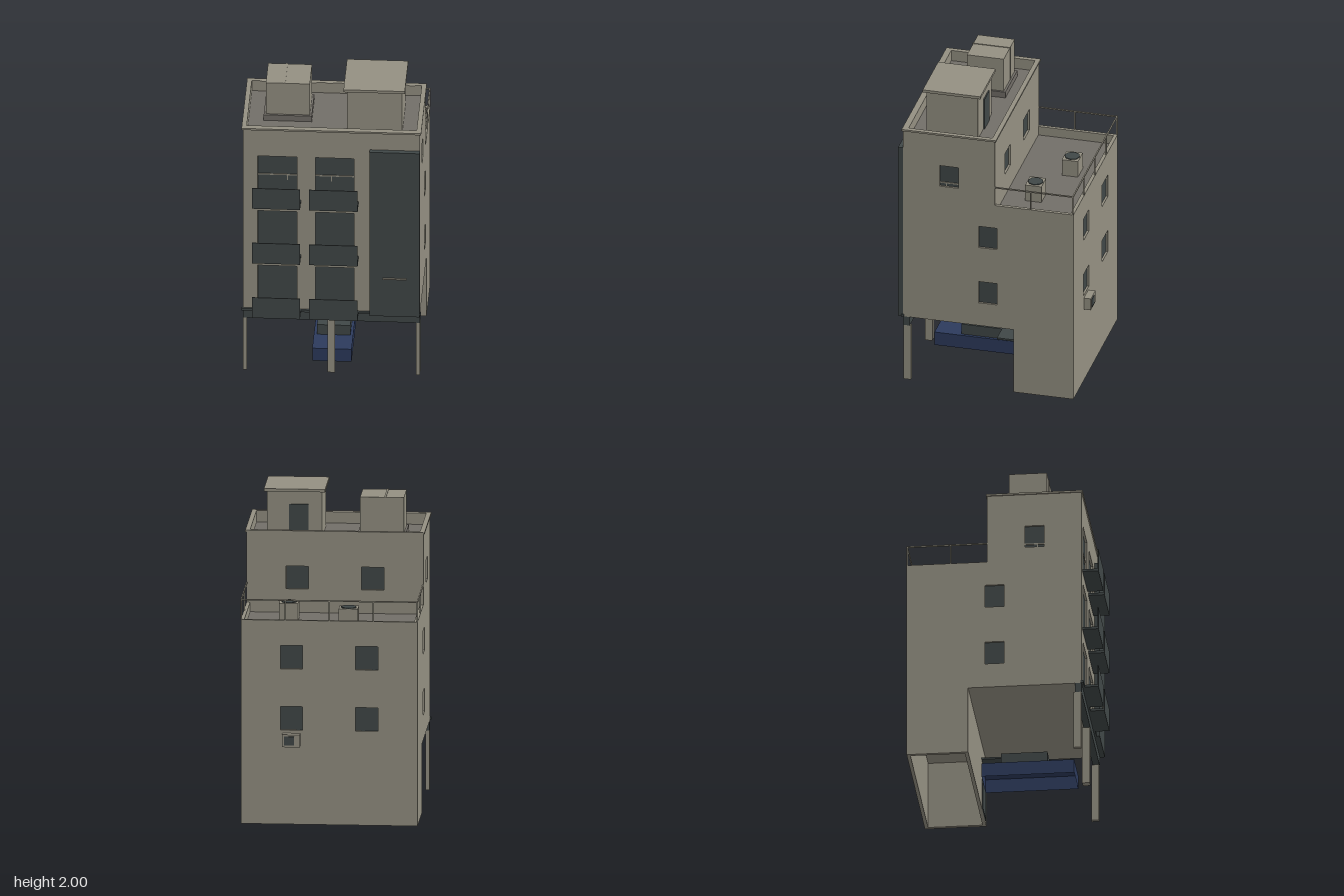
import * as THREE from 'three';

const mat = (name, color, side = THREE.FrontSide) => {
  const m = new THREE.MeshStandardMaterial({ color, side });
  m.name = name;
  return m;
};

export function createModel() {
  const model = new THREE.Group();
  model.name = 'apartmentBuilding';
  const plaster = mat('plaster', 0x949082);
  const dark = mat('darkGlass', 0x404747, THREE.DoubleSide);
  const roofGrey = mat('roofGrey', 0x726e68);
  const blue = mat('carBlue', 0x2c3a5c, THREE.DoubleSide);

  const add = (name, geo, material) => {
    const mesh = new THREE.Mesh(geo, material);
    mesh.name = name;
    model.add(mesh);
    return mesh;
  };
  // Box given by its limits on each axis
  const box = (name, m, x0, x1, y0, y1, z0, z1) => {
    const b = add(name, new THREE.BoxGeometry(x1 - x0, y1 - y0, z1 - z0), m);
    b.position.set((x0 + x1) / 2, (y0 + y1) / 2, (z0 + z1) / 2);
    return b;
  };
  // Wall with rectangular openings [u0, u1, v0, v1]
  const wallGeo = (points, holes, depth) => {
    const shape = new THREE.Shape(points.map(p => new THREE.Vector2(...p)));
    for (const [a, b, c, d] of holes) {
      shape.holes.push(new THREE.Path([[a, c], [a, d], [b, d], [b, c]].map(p => new THREE.Vector2(...p))));
    }
    return new THREE.ExtrudeGeometry(shape, { depth, bevelEnabled: false });
  };
  const rect = (x0, x1, y0, y1) => [[x0, y0], [x1, y0], [x1, y1], [x0, y1]];

  const W = 0.552, T = 0.022, IN = W - T;
  const winRows = [[0.6, 0.75], [0.99, 1.14], [1.39, 1.535]];

  // Side walls, stepped in profile, with recessed windows
  const profile = [[-0.575, 0], [-0.19, 0], [-0.19, 0.44], [0.52, 0.44],
    [0.52, 1.76], [-0.07, 1.76], [-0.07, 1.3], [-0.575, 1.3]];
  const sideHoles = winRows.map(([a, b], i) => (i < 2 ? [-0.085, 0.035, a, b] : [0.165, 0.285, a, b]));
  for (const s of [1, -1]) {
    const wall = add('sideWall', wallGeo(profile, sideHoles, T).rotateY(-Math.PI / 2), plaster);
    wall.position.x = s > 0 ? W : -W + T;
    const gx = s * (W - 0.016);
    for (const [a, b, c, d] of sideHoles) box('sideWindow', dark, gx - 0.003, gx + 0.003, c, d, a, b);
    const bx = s * (W - 0.011);
    box('sideWindowBar', plaster, bx - 0.003, bx + 0.003, 1.41, 1.418, 0.165, 0.285);
    box('sideWindowBar', plaster, bx - 0.003, bx + 0.003, 1.39, 1.41, 0.241, 0.248);
  }

  // Front wall with balcony doors
  const bays = [[-0.46, -0.215], [-0.1, 0.14]];
  const floors = [0.44, 0.837, 1.235];
  const frontHoles = [];
  for (const [a, b] of bays) for (const y of floors) frontHoles.push([a, b, y + 0.016, y + 0.325]);
  add('frontWall', wallGeo(rect(-IN, IN, 0.44, 1.76), frontHoles, 0.03), plaster).position.z = 0.49;
  for (const [a, b, c, d] of frontHoles) box('balconyDoor', dark, a, b, c, d, 0.5, 0.506);
  bays.forEach(([a, b], i) => {
    const px = i ? -0.003 : -0.278;
    box('doorBar', plaster, a, b, 1.42, 1.428, 0.506, 0.511);
    box('doorBar', plaster, px, px + 0.007, 1.385, 1.42, 0.506, 0.511);
  });

  // Rear walls with recessed windows
  const rearWall = (name, y0, y1, z, rows) => {
    const holes = [];
    for (const x of [-0.235, 0.235]) for (const [c, d] of rows) holes.push([x - 0.07, x + 0.07, c, d]);
    add(name, wallGeo(rect(-IN, IN, y0, y1), holes, T), plaster).position.z = z;
    for (const [a, b, c, d] of holes) box('rearWindow', dark, a, b, c, d, z + 0.013, z + 0.019);
  };
  rearWall('lowerRearWall', 0, 1.3, -0.575, winRows.slice(0, 2));
  rearWall('upperRearWall', 1.2, 1.76, -0.07, winRows.slice(2));

  // Ground floor wall, entrance, soffit
  box('groundWall', plaster, -IN, IN, 0, 0.44, -0.212, -0.19);
  box('soffit', plaster, -IN, IN, 0.44, 0.455, -0.553, 0.49);
  box('entranceDoor', dark, 0.29, 0.47, 0, 0.31, -0.19, -0.183);
  box('entranceCanopy', dark, 0.265, 0.5, 0.328, 0.34, -0.19, -0.07);

  // Pillars, beam and ledge at the front
  for (const [a, b] of [[-W, -0.528], [-0.025, 0.021], [0.528, W]]) {
    box('pillar', plaster, a, b, 0, 0.38, 0.47, 0.518);
  }
  box('frontBeam', dark, -W, W, 0.38, 0.44, 0.478, 0.52);
  box('frontLedge', dark, -0.56, 0.56, 0.44, 0.455, 0.515, 0.533);

  // Tall dark facade panel with a small ledge
  box('facadePanel', dark, 0.24, W, 0.44, 1.63, 0.52, 0.552);
  box('panelLedge', plaster, 0.32, 0.472, 0.711, 0.719, 0.552, 0.562);

  // Balconies: thin slab and front screen
  for (const [a, b] of [[-0.49, -0.19], [-0.135, 0.17]]) {
    for (const y of floors) {
      box('balconySlab', dark, a, b, y, y + 0.015, 0.52, 0.62);
      box('balconyScreen', dark, a, b, y, y + 0.148, 0.615, 0.62);
    }
  }

  // Roof decks and parapet coping
  box('terraceFloor', roofGrey, -IN, IN, 1.22, 1.24, -0.553, -0.07);
  box('roofFloor', roofGrey, -IN, IN, 1.67, 1.69, -0.05, 0.49);
  const coping = wallGeo(rect(-0.56, 0.56, -0.528, 0.078), [[-IN, IN, -0.49, 0.05]], 0.012);
  add('parapetCoping', coping.rotateX(-Math.PI / 2), plaster).position.y = 1.75;

  // Stair tower with cap and door
  box('stairTower', plaster, 0.09, 0.435, 1.69, 1.985, 0.07, 0.4);
  box('towerCap', plaster, 0.07, 0.452, 1.982, 2, 0.05, 0.42);
  box('towerDoor', dark, 0.175, 0.295, 1.69, 1.9, 0.062, 0.07);

  // Water tank on a plinth, with a strap
  box('tankPlinth', roofGrey, -0.435, -0.135, 1.69, 1.73, 0.04, 0.305);
  box('waterTank', plaster, -0.422, -0.148, 1.73, 1.955, 0.054, 0.29);
  box('tankStrap', plaster, -0.311, -0.3, 1.73, 1.959, 0.05, 0.294);

  // Terrace cooling units with octagonal fans
  for (const [x, z] of [[-0.11, -0.397], [0.272, -0.26]]) {
    box('coolingUnit', plaster, x - 0.06, x + 0.06, 1.24, 1.35, z - 0.052, z + 0.052);
    add('coolingFan', new THREE.CylinderGeometry(0.049, 0.049, 0.006, 8), dark).position.set(x, 1.352, z);
  }

  // Wall mounted air conditioner
  box('airConditioner', plaster, 0.18, 0.292, 0.5, 0.58, -0.62, -0.575);
  box('airConditionerGrille', dark, 0.215, 0.28, 0.512, 0.568, -0.623, -0.62);

  // Terrace railing
  const R = 0.004, RX = 0.55, RZ = -0.571;
  box('backRail', plaster, -RX - R, RX + R, 1.422, 1.43, RZ - R, RZ + R);
  for (const x of [-RX, -0.275, 0, 0.275, RX]) box('railPost', plaster, x - R, x + R, 1.3, 1.422, RZ - R, RZ + R);
  for (const x of [-RX, RX]) {
    box('sideRail', plaster, x - R, x + R, 1.422, 1.43, RZ, -0.07);
    box('railPost', plaster, x - R, x + R, 1.3, 1.422, -0.304, -0.296);
  }

  // Parked car: hollow underside and dark cabin
  const body = new THREE.BoxGeometry(0.245, 0.09, 0.58);
  body.setIndex(Array.from(body.index.array).filter((_, i) => i < 18 || i >= 24));
  body.clearGroups();
  add('carBody', body, blue).position.set(-0.002, 0.073, 0.14);
  box('carCabin', dark, -0.105, 0.103, 0.118, 0.188, -0.03, 0.26);

  return model;
}
